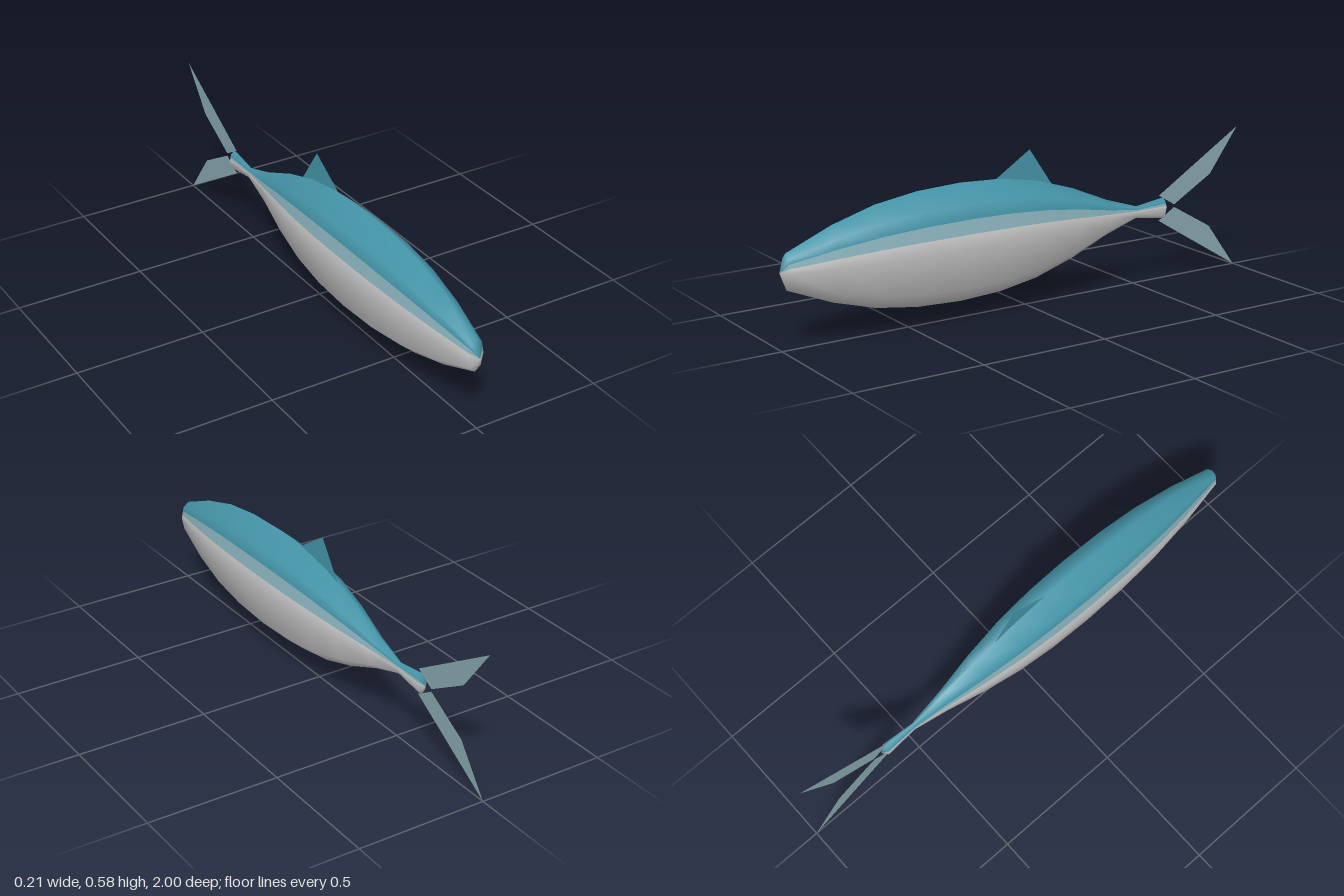
import * as THREE from 'three';

const CENTRE_Y = 0.28;
const WIDTH_RATIO = 0.48; // body width relative to its height
const TEAL = 0x4596aa, BLEND = 0x8ab3bd, GREY = 0xcccccc, TAIL = 0x86a7af;

// Body stations: [z, half height]
const STATIONS = [
  [0.975, 0.066], [0.8, 0.138], [0.63, 0.187], [0.46, 0.212], [0.28, 0.22], [0.11, 0.212],
  [-0.05, 0.185], [-0.21, 0.135], [-0.37, 0.068], [-0.51, 0.023], [-0.64, 0.041],
];

const material = (color, side = THREE.FrontSide) => new THREE.MeshStandardMaterial({ color, side });

// Octagonal outline; the two upper flank facets are divided in three for the colour bands
function outline() {
  const points = [];
  for (let i = 0; i < 8; i++) {
    const corner = (k) => new THREE.Vector2(Math.cos(k * Math.PI / 4), Math.sin(k * Math.PI / 4));
    const steps = i === 0 || i === 3 ? 3 : 1;
    for (let s = 0; s < steps; s++) points.push(corner(i).lerp(corner(i + 1), s / steps));
  }
  return points;
}

function createBody() {
  const ring = outline(), n = ring.length;
  const positions = [];
  for (const [z, h] of STATIONS) {
    for (const p of ring) positions.push(p.x * h * WIDTH_RATIO, CENTRE_Y + p.y * h, z);
  }
  const nose = positions.length / 3, end = nose + 1;
  positions.push(0, CENTRE_Y, 1, 0, CENTRE_Y, -0.66);

  // Facets 2..5 are the back, 1 and 6 the blend, the rest flanks and belly
  const bands = { back: [], flankBlend: [], belly: [] };
  const last = (STATIONS.length - 1) * n;
  for (let i = 0; i < n; i++) {
    const j = (i + 1) % n;
    const band = i >= 2 && i <= 5 ? bands.back : i === 1 || i === 6 ? bands.flankBlend : bands.belly;
    band.push(nose, i, j);
    for (let s = 0; s < last; s += n) {
      band.push(s + i, s + n + i, s + j, s + j, s + n + i, s + n + j);
    }
    band.push(last + i, end, last + j);
  }

  // Normals are computed over the whole body so the bands join smoothly
  const whole = new THREE.BufferGeometry();
  whole.setAttribute('position', new THREE.Float32BufferAttribute(positions, 3));
  whole.setIndex(Object.values(bands).flat());
  whole.computeVertexNormals();

  const body = new THREE.Group();
  body.name = 'body';
  const colors = { back: TEAL, flankBlend: BLEND, belly: GREY };
  for (const [name, index] of Object.entries(bands)) {
    const geometry = whole.clone();
    geometry.setIndex(index);
    const mesh = new THREE.Mesh(geometry, material(colors[name]));
    mesh.name = name;
    body.add(mesh);
  }
  return body;
}

// Flat fin in the x = 0 plane from [z, y] corners
function createFin(name, corners, color) {
  const shape = new THREE.Shape(corners.map(([z, y]) => new THREE.Vector2(-z, y)));
  const geometry = new THREE.ShapeGeometry(shape);
  geometry.rotateY(Math.PI / 2);
  const fin = new THREE.Mesh(geometry, material(color, THREE.DoubleSide));
  fin.name = name;
  return fin;
}

export function createModel() {
  const fish = new THREE.Group();
  fish.name = 'fish';
  fish.add(createBody());
  fish.add(createFin('dorsalFin', [[0.13, 0.49], [-0.02, 0.585], [-0.12, 0.44]], TEAL));

  // Forked tail, mirrored about the body's centre line
  const lobe = [[-0.62, 0.05], [-1, 0.28], [-0.87, 0.105], [-0.695, 0.005]];
  for (const [name, sign] of [['upperTailFin', 1], ['lowerTailFin', -1]]) {
    fish.add(createFin(name, lobe.map(([z, y]) => [z, CENTRE_Y + sign * y]), TAIL));
  }
  return fish;
}
